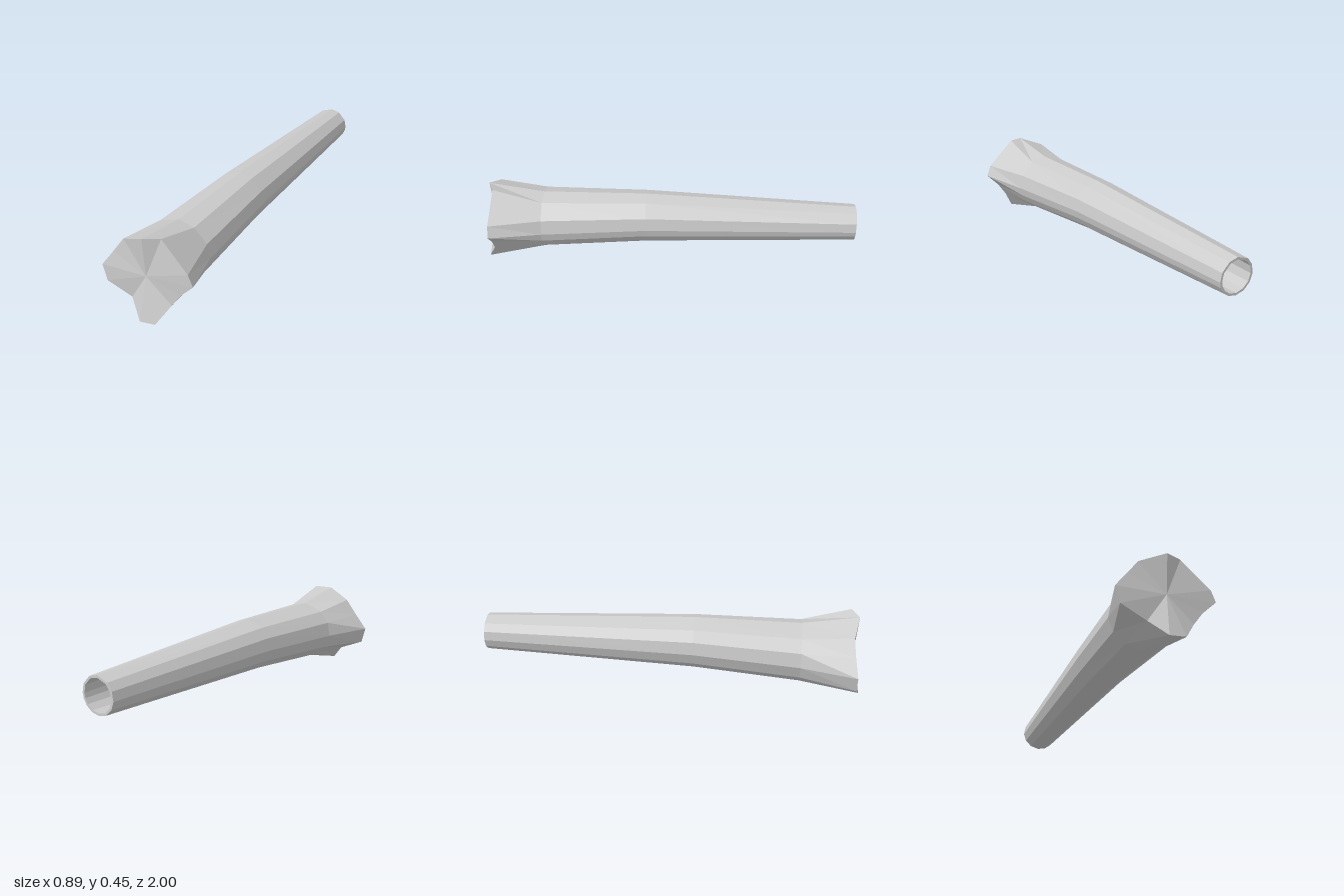
import * as THREE from 'three';

// Angles (degrees) of the lengthwise ridges around the trunk
const ANGLES = [-3, 25, 60, 90, 130, 157, 185, 212, 240, 268, 295, 320, 340];

// Flared root end, one point per ridge
const ROOT = [
  [0.443, 0.253, 0.837], [0.42, 0.313, 0.845], [0.277, 0.453, 0.876], [0.207, 0.447, 0.935],
  [0.07, 0.392, 0.942], [0.015, 0.31, 0.967], [-0.042, 0.225, 0.998], [-0.02, 0.14, 0.992],
  [0.105, 0.083, 0.942], [0.197, 0.0, 0.972], [0.278, 0.01, 0.943], [0.327, 0.112, 0.875],
  [0.375, 0.183, 0.858],
].map((p) => new THREE.Vector3(...p));

// Cross-section square to the slanted trunk axis
function ring(x, y, z, width, height) {
  return ANGLES.map((deg) => {
    const a = THREE.MathUtils.degToRad(deg);
    const u = Math.cos(a) * width;
    return new THREE.Vector3(x + u * 0.96, y + Math.sin(a) * height, z - u * 0.28);
  });
}

// Skin joining consecutive rings
function loft(rings) {
  const n = ANGLES.length;
  const index = [];
  for (let r = 0; r < rings.length - 1; r++) {
    for (let i = 0; i < n; i++) {
      const a = r * n + i, b = r * n + (i + 1) % n;
      index.push(a, b, b + n, a, b + n, a + n);
    }
  }
  const geometry = new THREE.BufferGeometry().setFromPoints(rings.flat());
  geometry.setIndex(index);
  geometry.computeVertexNormals();
  return geometry;
}

// Flat fan closing a ring
function fan(points, center) {
  const n = points.length;
  const geometry = new THREE.BufferGeometry().setFromPoints([...points, center]);
  geometry.setIndex(points.flatMap((_, i) => [n, i, (i + 1) % n]));
  geometry.computeVertexNormals();
  return geometry;
}

export function createModel() {
  const group = new THREE.Group();
  group.name = 'hollowLog';
  const material = new THREE.MeshStandardMaterial({
    color: 0xcccccc, flatShading: true, side: THREE.DoubleSide,
  });
  const add = (name, geometry) => {
    const mesh = new THREE.Mesh(geometry, material);
    mesh.name = name;
    group.add(mesh);
  };

  const end = [-0.355, 0.274, -0.972];
  const middle = [-0.038, 0.27, 0.11];
  const neck = [0.12, 0.242, 0.65];
  const openEnd = ring(...end, 0.1, 0.097);
  const innerEnd = ring(...end, 0.088, 0.085);

  // Bark: tapered trunk flaring into the roots
  add('bark', loft([openEnd, ring(...middle, 0.145, 0.14), ring(...neck, 0.175, 0.16), ROOT]));

  // Thin rim and the bore seen through the open end
  add('rim', loft([innerEnd, openEnd]));
  add('bore', loft([ring(...neck, 0.155, 0.14), ring(...middle, 0.13, 0.125), innerEnd]));
  add('boreFloor', fan(ring(...neck, 0.155, 0.14).reverse(), new THREE.Vector3(...neck)));

  // Cut face closing the root end
  add('cutFace', fan(ROOT, new THREE.Vector3(0.2, 0.235, 0.92)));
  return group;
}
